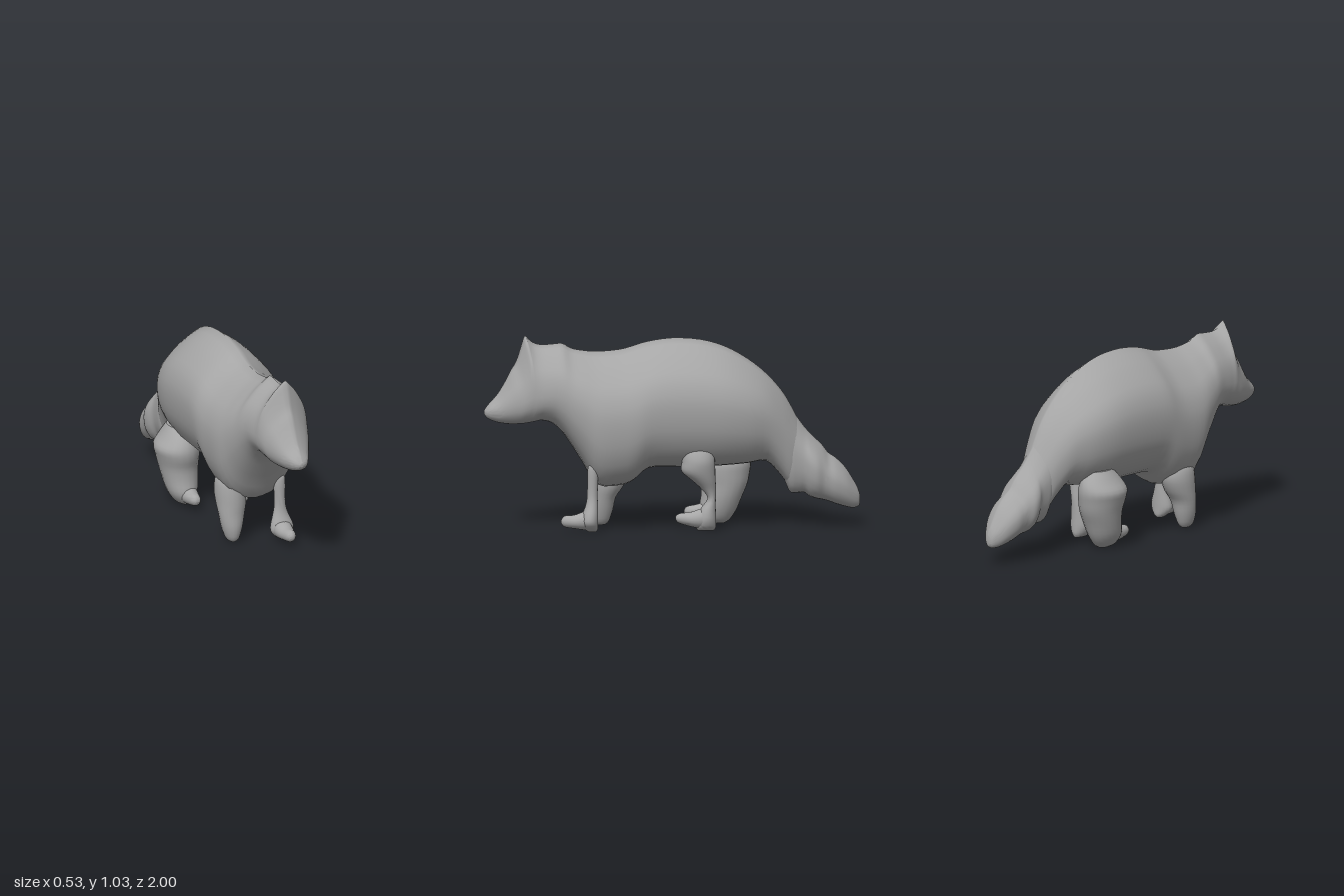
import * as THREE from 'three';
import { toCreasedNormals } from 'three/addons/utils/BufferGeometryUtils.js';

// Catmull-Rom resampling of a list of number tuples
function resample(rows, n) {
  const out = [];
  for (let i = 0; i < rows.length - 1; i++) {
    const a = rows[Math.max(i - 1, 0)], b = rows[i], c = rows[i + 1], d = rows[Math.min(i + 2, rows.length - 1)];
    for (let k = 0; k < n; k++) {
      const t = k / n;
      out.push(b.map((p, j) => p + 0.5 * t * (c[j] - a[j] +
        t * (2 * a[j] - 5 * p + 4 * c[j] - d[j] + t * (3 * (p - c[j]) + d[j] - a[j])))));
    }
  }
  out.push(rows[rows.length - 1]);
  return out;
}

// Skin closed rings of points; both ends are closed at their centre
function skin(rings, crease) {
  const m = rings[0].length;
  const centre = (r) => [0, 1, 2].map((k) => r.reduce((s, p) => s + p[k], 0) / m);
  const all = [Array(m).fill(centre(rings[0])), ...rings, Array(m).fill(centre(rings[rings.length - 1]))];
  const index = [];
  for (let i = 0; i < all.length - 1; i++) {
    for (let j = 0; j < m; j++) {
      const a = i * m + j, b = i * m + (j + 1) % m, c = a + m, d = b + m;
      if (i > 0) index.push(a, b, c);
      if (i < all.length - 2) index.push(b, d, c);
    }
  }
  const geo = new THREE.BufferGeometry();
  geo.setAttribute('position', new THREE.Float32BufferAttribute(all.flat(2), 3));
  geo.setIndex(index);
  return toCreasedNormals(geo, crease);
}

// Half cross-section of the trunk, bottom to top, with a ridge along the back
const half = resample([[0, -1], [0.36, -0.95], [0.68, -0.78], [0.9, -0.48], [0.98, -0.22],
  [1, 0], [0.97, 0.2], [0.85, 0.43], [0.63, 0.63], [0.36, 0.82], [0, 1]], 2);
const section = [...half, ...half.slice(1, -1).reverse().map(([x, y]) => [-x, y])];
const oval = Array.from({ length: 20 }, (_, i) => [Math.cos(i * Math.PI / 10), Math.sin(i * Math.PI / 10)]);

// Stations along z, back to front:
// [z, top, bottom, half width, height fraction of the widest point, backward sweep of the sides]
function alongZ(stations, cx, shape) {
  const full = stations.map(([z, top, bottom, w, f = 0.5, sweep = 0]) => [z, top, bottom, w, f, sweep]);
  return skin(resample(full, 3).map(([z, top, bottom, w, f, sweep]) => {
    const mid = bottom + (top - bottom) * f;
    return shape.map(([x, y]) => [cx + x * w, mid + y * (y > 0 ? top - mid : mid - bottom), z - sweep * Math.abs(x)]);
  }), 1.4);
}

// Stations up y: [y, centre x, centre z, half width, half depth]
function alongY(stations) {
  return skin(resample(stations, 3).map(([y, cx, cz, w, d]) =>
    oval.map(([c, s]) => [cx + s * w, y, cz + c * d])), 0.8);
}

export function createModel() {
  const group = new THREE.Group();
  const fur = new THREE.MeshStandardMaterial({ color: 0xa6a6a6 });
  fur.name = 'grey fur';
  const add = (name, geo) => {
    const mesh = new THREE.Mesh(geo, fur);
    mesh.name = name;
    group.add(mesh);
  };

  // Trunk, neck and head
  add('body', alongZ([
    [-0.68, 0.55, 0.24, 0.08], [-0.63, 0.65, 0.21, 0.108], [-0.58, 0.73, 0.27, 0.132],
    [-0.5, 0.82, 0.35, 0.172], [-0.4, 0.9, 0.34, 0.215], [-0.28, 0.967, 0.33, 0.242],
    [-0.15, 1.005, 0.325, 0.25], [0, 1.015, 0.325, 0.252], [0.13, 0.998, 0.32, 0.252],
    [0.21, 0.975, 0.255, 0.247], [0.28, 0.957, 0.23, 0.242], [0.4, 0.948, 0.235, 0.235],
    [0.48, 0.955, 0.36, 0.212, 0.48], [0.54, 0.968, 0.455, 0.192, 0.45], [0.585, 0.993, 0.52, 0.178, 0.42],
    [0.64, 0.99, 0.568, 0.165, 0.39, 0.01], [0.7, 0.988, 0.584, 0.155, 0.36, 0.02],
    [0.74, 1.0, 0.578, 0.149, 0.35, 0.03], [0.765, 1.02, 0.573, 0.146, 0.34, 0.035],
    [0.785, 1.034, 0.57, 0.143, 0.34, 0.04], [0.805, 0.975, 0.567, 0.137, 0.36, 0.04],
    [0.83, 0.9, 0.566, 0.128, 0.38, 0.035], [0.86, 0.85, 0.565, 0.112, 0.4, 0.025],
    [0.89, 0.79, 0.568, 0.094, 0.42, 0.015], [0.93, 0.725, 0.575, 0.072, 0.45, 0.01],
    [0.97, 0.68, 0.59, 0.047], [0.99, 0.655, 0.605, 0.028], [1.0, 0.64, 0.62, 0.01]], 0.007, section));

  // Bushy tail with soft bulges
  add('tail', alongZ([
    [-1.0, 0.16, 0.115, 0.012], [-0.99, 0.195, 0.099, 0.03], [-0.96, 0.25, 0.092, 0.058],
    [-0.92, 0.312, 0.1, 0.085], [-0.87, 0.362, 0.115, 0.103], [-0.83, 0.39, 0.13, 0.106],
    [-0.8, 0.43, 0.138, 0.112], [-0.765, 0.465, 0.145, 0.127], [-0.73, 0.5, 0.158, 0.123],
    [-0.7, 0.535, 0.178, 0.108], [-0.66, 0.59, 0.175, 0.106], [-0.62, 0.64, 0.192, 0.105],
    [-0.57, 0.66, 0.33, 0.08]], 0.005, section));

  // Left front leg: slim column and forward paw
  add('leftFrontLeg', alongY([
    [0, 0.133, 0.435, 0.012, 0.02], [0.015, 0.134, 0.44, 0.036, 0.036], [0.05, 0.135, 0.45, 0.064, 0.046],
    [0.09, 0.135, 0.447, 0.06, 0.043], [0.14, 0.132, 0.438, 0.042, 0.033], [0.2, 0.13, 0.434, 0.03, 0.028],
    [0.33, 0.128, 0.432, 0.032, 0.028], [0.36, 0.128, 0.43, 0.022, 0.018]]));
  add('leftFrontPaw', alongZ([
    [0.43, 0.12, 0.008, 0.05], [0.48, 0.108, 0.01, 0.052], [0.53, 0.09, 0.018, 0.042],
    [0.575, 0.088, 0.025, 0.03], [0.592, 0.078, 0.035, 0.02], [0.6, 0.065, 0.047, 0.008]], 0.13, oval));

  // Left hind leg: broad flat-topped thigh, narrow hock and forward paw
  add('leftHindLeg', alongY([
    [0, 0.13, -0.17, 0.018, 0.045], [0.02, 0.13, -0.17, 0.04, 0.054], [0.06, 0.13, -0.172, 0.055, 0.052],
    [0.11, 0.13, -0.18, 0.05, 0.042], [0.17, 0.132, -0.2, 0.034, 0.022], [0.22, 0.137, -0.185, 0.037, 0.038],
    [0.27, 0.145, -0.157, 0.052, 0.063], [0.32, 0.15, -0.128, 0.066, 0.09], [0.37, 0.152, -0.128, 0.07, 0.088],
    [0.41, 0.15, -0.128, 0.062, 0.086], [0.44, 0.147, -0.13, 0.05, 0.082]]));
  add('leftHindPaw', alongZ([
    [-0.19, 0.13, 0.008, 0.045], [-0.14, 0.115, 0.01, 0.048], [-0.09, 0.098, 0.02, 0.04],
    [-0.04, 0.093, 0.035, 0.03], [-0.018, 0.086, 0.045, 0.02], [-0.008, 0.075, 0.06, 0.008]], 0.13, oval));

  // Right front leg: tapering to a point
  add('rightFrontLeg', alongY([
    [0, -0.118, 0.37, 0.015, 0.025], [0.02, -0.118, 0.37, 0.036, 0.046], [0.08, -0.118, 0.365, 0.056, 0.062],
    [0.15, -0.115, 0.355, 0.07, 0.068], [0.21, -0.11, 0.335, 0.08, 0.088], [0.28, -0.11, 0.32, 0.082, 0.1],
    [0.34, -0.11, 0.32, 0.07, 0.09], [0.38, -0.1, 0.32, 0.04, 0.06]]));

  // Right hind leg: heavy thigh with the knee turned out, and a short paw
  add('rightHindLeg', alongY([
    [0, -0.125, -0.25, 0.018, 0.04], [0.02, -0.125, -0.25, 0.05, 0.07], [0.07, -0.13, -0.255, 0.078, 0.1],
    [0.14, -0.132, -0.275, 0.095, 0.11], [0.21, -0.137, -0.29, 0.105, 0.125], [0.27, -0.143, -0.288, 0.114, 0.14],
    [0.32, -0.148, -0.29, 0.117, 0.145], [0.37, -0.14, -0.295, 0.09, 0.13], [0.43, -0.12, -0.3, 0.07, 0.09]]));
  add('rightHindPaw', alongZ([
    [-0.25, 0.13, 0.012, 0.055], [-0.19, 0.115, 0.015, 0.05], [-0.14, 0.1, 0.022, 0.04],
    [-0.09, 0.09, 0.035, 0.026], [-0.075, 0.07, 0.055, 0.01]], -0.12, oval));

  return group;
}
